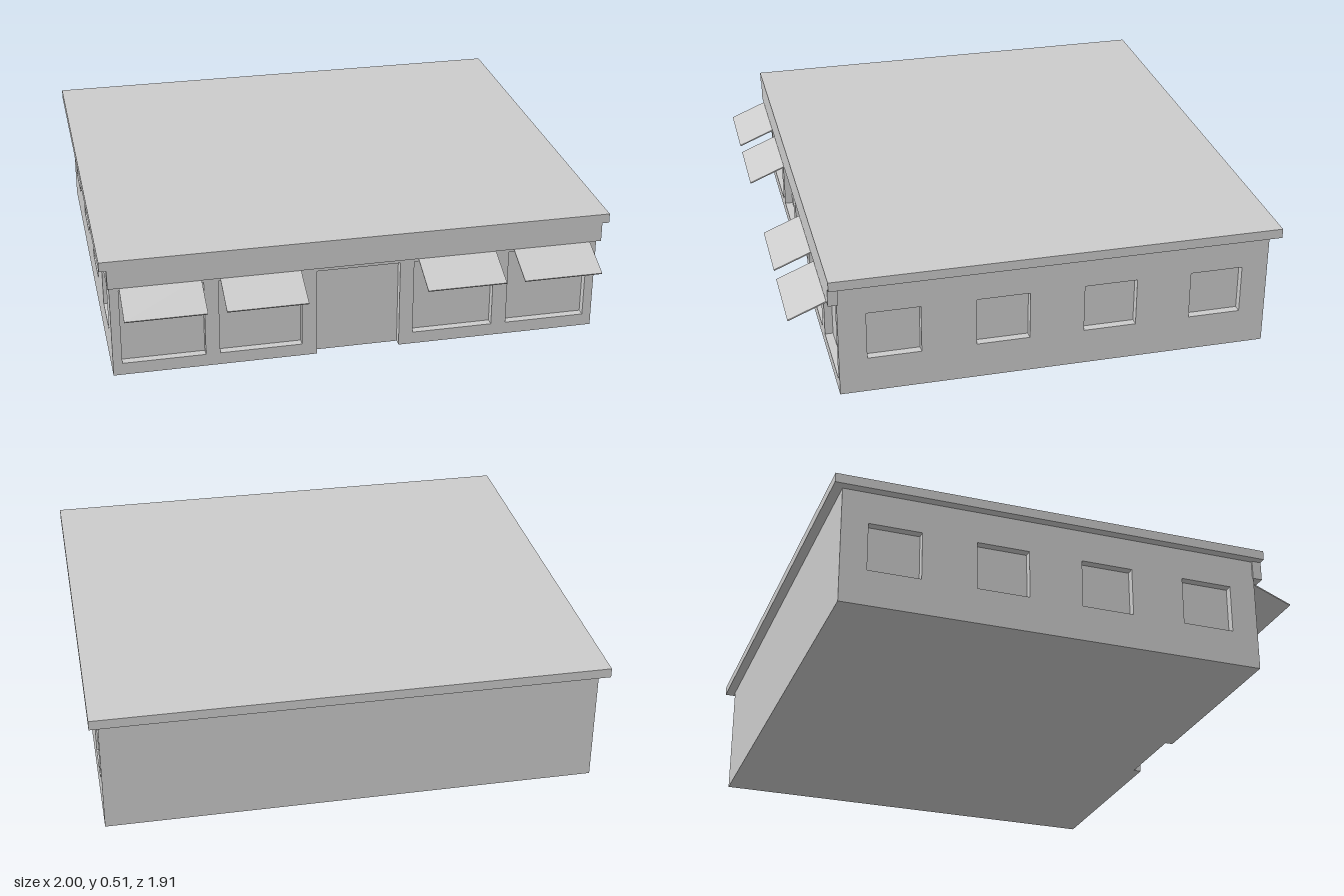
import * as THREE from 'three';

const WALL_X = 0.965, FRONT = 0.775, BACK = -0.915, TOP = 0.47, RECESS = 0.032;

export function createModel() {
  const model = new THREE.Group();
  model.name = 'shopBuilding';
  const grey = new THREE.MeshStandardMaterial({ color: 0xcccccc });
  grey.name = 'plain grey';

  const add = (name, geometry) => {
    const mesh = new THREE.Mesh(geometry, grey);
    mesh.name = name;
    model.add(mesh);
    return mesh;
  };
  // Box given by its two extreme corners
  const box = (name, x0, x1, y0, y1, z0, z1) =>
    add(name, new THREE.BoxGeometry(x1 - x0, y1 - y0, z1 - z0)
      .translate((x0 + x1) / 2, (y0 + y1) / 2, (z0 + z1) / 2));
  const outline = (Type, x0, x1, y0, y1) => {
    const p = new Type();
    p.moveTo(x0, y0).lineTo(x1, y0).lineTo(x1, y1).lineTo(x0, y1).closePath();
    return p;
  };
  const extrude = (shape) =>
    new THREE.ExtrudeGeometry(shape, { depth: RECESS, bevelEnabled: false });

  // Inner block: its faces show as the recessed panes and the door
  box('innerBlock', -WALL_X + RECESS, WALL_X - RECESS, 0, TOP, BACK, FRONT - RECESS);

  // Front wall with an open doorway and four shop windows
  const front = new THREE.Shape();
  [[-WALL_X, 0], [-0.165, 0], [-0.165, 0.365], [0.165, 0.365], [0.165, 0],
    [WALL_X, 0], [WALL_X, TOP], [-WALL_X, TOP]]
    .forEach(([x, y], i) => (i ? front.lineTo(x, y) : front.moveTo(x, y)));
  front.closePath();
  for (const x of [-0.767, -0.387, 0.383, 0.767])
    front.holes.push(outline(THREE.Path, x - 0.162, x + 0.162, 0.05, 0.365));
  add('frontWall', extrude(front).translate(0, 0, FRONT - RECESS));

  // Side walls with four square windows each
  for (const side of [1, -1]) {
    // Shape x runs along -z on the left wall and along +z on the right wall
    const a = -side * BACK, b = -side * (FRONT - RECESS);
    const wall = outline(THREE.Shape, Math.min(a, b), Math.max(a, b), 0, TOP);
    for (const z of [0.563, 0.141, -0.282, -0.707]) {
      const u = -side * z;
      wall.holes.push(outline(THREE.Path, u - 0.104, u + 0.104, 0.145, 0.34));
    }
    const geometry = extrude(wall)
      .rotateY(side * Math.PI / 2)
      .translate(side * (WALL_X - RECESS), 0, 0);
    add(side > 0 ? 'leftWall' : 'rightWall', geometry);
  }

  // Sign band across the front and the overhanging roof slab
  box('fascia', -0.972, 0.972, 0.393, TOP, FRONT - 0.005, 0.808);
  box('roofSlab', -1, 1, TOP, 0.508, -0.952, 0.808);

  // Thin sloping awnings over the shop windows
  const y0 = 0.396, z0 = 0.785, y1 = 0.327, z1 = 0.953;
  const length = Math.hypot(z1 - z0, y1 - y0);
  for (const x of [-0.772, -0.389, 0.386, 0.771]) {
    const awning = add('awning', new THREE.BoxGeometry(0.312, 0.005, length));
    awning.position.set(x, (y0 + y1) / 2, (z0 + z1) / 2);
    awning.rotation.x = Math.atan2(y0 - y1, z1 - z0);
  }
  return model;
}
